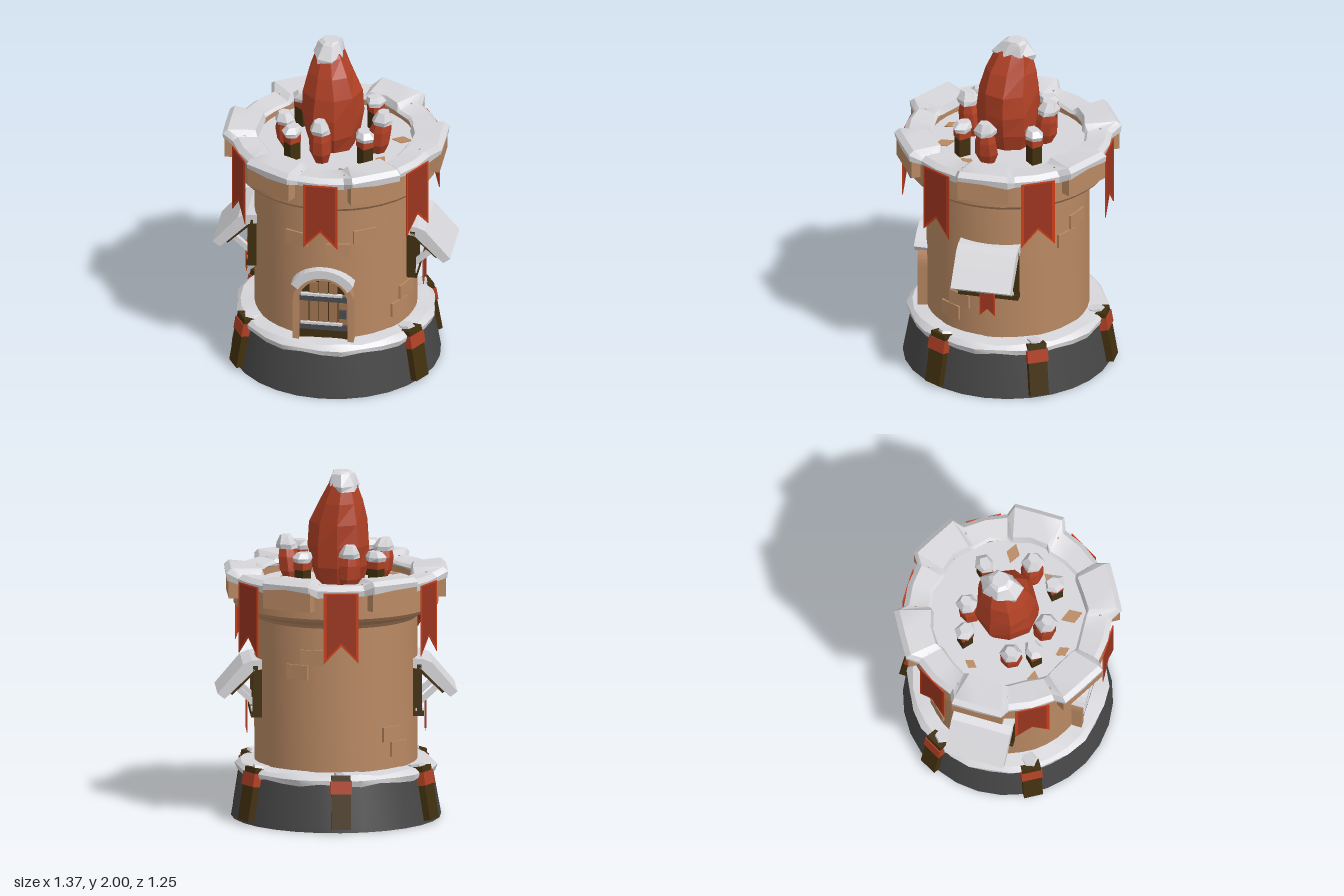
import * as THREE from 'three';
import { toCreasedNormals } from 'three/addons/utils/BufferGeometryUtils.js';

const RAD = Math.PI / 180;
const mat = (name, color, side = THREE.FrontSide) => {
  const m = new THREE.MeshStandardMaterial({ color, side });
  m.name = name;
  return m;
};

export function createModel() {
  const M = {
    wall: mat('sandstone', 0xb98963),
    stone: mat('dark stone', 0x474747, THREE.DoubleSide),
    snow: mat('snow', 0xd6d6da, THREE.DoubleSide),
    red: mat('red crystal', 0xb04025),
    cloth: mat('banner cloth', 0x9c3520),
    trim: mat('banner trim', 0xcc3d18),
    wood: mat('dark wood', 0x42300f),
    plank: mat('door plank', 0xa0744f),
    iron: mat('iron', 0x4a4c50),
  };
  const root = new THREE.Group();
  root.name = 'tower';
  const tower = new THREE.Group();
  tower.name = 'towerParts';
  tower.position.z = 0.015;
  root.add(tower);

  // ---- helpers ----
  const add = (parent, name, geo, material, x = 0, y = 0, z = 0) => {
    const m = new THREE.Mesh(geo, material);
    m.name = name;
    m.position.set(x, y, z);
    parent.add(m);
    return m;
  };
  const box = (parent, name, w, h, d, material, x, y, z) =>
    add(parent, name, new THREE.BoxGeometry(w, h, d), material, x, y, z);
  // group whose local +z points outward at the given angle from the front
  const spoke = (name, deg) => {
    const g = new THREE.Group();
    g.name = name;
    g.rotation.y = deg * RAD;
    tower.add(g);
    return g;
  };
  // skin over closed loops of points; either wraps round or gets end caps
  const skin = (rows, wrap, crease) => {
    const pos = [], n = rows[0].length;
    const tri = (...pts) => pts.forEach((p) => pos.push(p.x, p.y, p.z));
    const last = wrap ? rows.length : rows.length - 1;
    for (let j = 0; j < last; j++) {
      const A = rows[j], B = rows[(j + 1) % rows.length];
      for (let i = 0; i < n; i++) {
        const k = (i + 1) % n;
        tri(A[i], A[k], B[k]);
        tri(A[i], B[k], B[i]);
      }
    }
    if (!wrap) {
      const centre = (r) => r.reduce((s, p) => s.add(p), new THREE.Vector3()).divideScalar(n);
      const lo = rows[0], hi = rows[rows.length - 1], c0 = centre(lo), c1 = centre(hi);
      for (let i = 0; i < n; i++) {
        const k = (i + 1) % n;
        tri(lo[k], lo[i], c0);
        tri(hi[i], hi[k], c1);
      }
    }
    const g = new THREE.BufferGeometry();
    g.setAttribute('position', new THREE.Float32BufferAttribute(pos, 3));
    return toCreasedNormals(g, crease);
  };
  // faceted lump from rings of [y, centre x, centre z, radius x, radius z]
  const lump = (rings, sides, wobble = 0.06) => skin(rings.map(([y, cx, cz, rx, rz], j) =>
    Array.from({ length: sides }, (_, i) => {
      const a = (i + 0.3) / sides * Math.PI * 2, k = 1 + wobble * Math.sin(i * 2.3 + j * 1.3);
      return new THREE.Vector3(cx + Math.sin(a) * rx * k, y, cz + Math.cos(a) * rz * k);
    })), false, 0.1);
  // ring swept through angles; section gives [radius, y] pairs
  const sweep = (angles, section) => skin(angles.map((deg, i) => section(deg, i).map(([r, y]) =>
    new THREE.Vector3(Math.sin(deg * RAD) * r, y, Math.cos(deg * RAD) * r))), true, 0.55);
  const lathe = (pts, seg) => toCreasedNormals(
    new THREE.LatheGeometry(pts.map((p) => new THREE.Vector2(...p)), seg), 0.5);
  const extrude = (pts, depth) => new THREE.ExtrudeGeometry(
    new THREE.Shape(pts.map((p) => new THREE.Vector2(...p))), { depth, bevelEnabled: false });

  // ---- base and tower wall ----
  add(tower, 'base', lathe([[0.6, 0], [0.595, 0.03], [0.55, 0.28]], 28), M.stone);
  const floor = add(tower, 'baseFloor', new THREE.CircleGeometry(0.53, 28), M.snow, 0, 0.27);
  floor.rotation.x = Math.PI / 2;
  add(tower, 'wall', lathe([[0.465, 0.27], [0.465, 1.16], [0.48, 1.18], [0.57, 1.215],
    [0.585, 1.235], [0.585, 1.4], [0.46, 1.4], [0.46, 1.33]], 40), M.wall);
  const baseAngles = Array.from({ length: 30 }, (_, i) => i * 12);
  add(tower, 'baseSnow', sweep(baseAngles, (d, i) => {
    const w = Math.sin(i * 2.1);
    return [[0.545, 0.32 + 0.008 * w], [0.572 + 0.01 * w, 0.295], [0.565, 0.265 - 0.01 * w],
      [0.44, 0.265], [0.44, 0.33]];
  }), M.snow);

  // raised bricks: [angle, height]
  for (const [deg, y] of [[29, 0.98], [10, 0.9], [67, 0.53], [59, 0.44], [149, 0.9], [160, 0.99],
    [220, 0.53], [227, 0.44], [-20, 0.95]])
    box(spoke('brick', deg), 'brickFace', 0.135, 0.085, 0.04, M.wall, 0, y, 0.454);

  // ---- battlements ----
  for (let k = 0; k < 6; k++)
    box(spoke('merlon', 30 + 60 * k), 'merlonBlock', 0.3, 0.145, 0.12, M.wall, 0, 1.355, 0.56);
  const crownAngles = [];
  for (let k = 0; k < 6; k++) for (const o of [-17, -13, 0, 13, 17, 30]) crownAngles.push(30 + 60 * k + o);
  add(tower, 'crownSnow', sweep(crownAngles, (d, i) => {
    const s = i % 6, high = s >= 1 && s <= 3, w = Math.sin(i * 1.9);
    const out = high ? (s === 2 ? 0.635 : 0.65) : 0.595, top = high ? 1.455 : 1.425;
    return [[out - 0.03, top], [out, top - 0.025], [out - 0.005, top - 0.06 + 0.01 * w],
      [0.45, 1.385], [0.435 + 0.012 * w, 1.4], [0.45 + 0.012 * w, top - 0.01]];
  }), M.snow);

  // ---- swallow-tailed banners ----
  const banner = (g, w, top, bottom, notch, z, edge) => {
    const tail = (e) => [[-w / 2 + e, top - e / 2], [-w / 2 + e, bottom + e * 2], [0, notch + e],
      [w / 2 - e, bottom + e * 2], [w / 2 - e, top - e / 2]];
    add(g, 'bannerTrim', extrude(tail(0), 0.005), M.trim, 0, 0, z);
    add(g, 'bannerCloth', extrude(tail(edge), 0.009), M.cloth, 0, 0, z - 0.002);
  };
  for (let k = 0; k < 6; k++) banner(spoke('banner', 60 * k), 0.2, 1.39, 0.98, 1.085, 0.592, 0.016);

  // ---- posts with red bands ----
  const post = (g, s) => {
    box(g, 'postShaft', 0.11 * s, 0.31 * s, 0.12 * s, M.wood, 0, 0.155 * s, 0);
    box(g, 'postBand', 0.122 * s, 0.075 * s, 0.132 * s, M.red, 0, 0.24 * s, 0);
  };
  for (let k = 1; k < 6; k++) {
    const g = new THREE.Group();
    g.name = 'basePost';
    g.position.set(0, 0.015, 0.573);
    g.rotation.x = -0.17;
    post(g, 1);
    add(g, 'postSnow', lump([[0.295, 0.01, -0.01, 0.05, 0.06], [0.325, 0, -0.01, 0.04, 0.05]], 6), M.snow);
    spoke('postMount', 60 * k).add(g);
  }

  // ---- roof floor with bare patches ----
  const roof = add(tower, 'roofSnow', new THREE.CircleGeometry(0.462, 32), M.snow, 0, 1.345);
  roof.rotation.x = -Math.PI / 2;
  [[0.37, -0.08, 0.06], [0.28, 0.17, 0.05], [0.1, 0.35, 0.065], [-0.33, 0.25, 0.055],
    [-0.34, -0.12, 0.04], [-0.12, 0.36, 0.045]].forEach(([x, z, r], i) => {
    const p = add(tower, 'barePatch', new THREE.CylinderGeometry(r, r, 0.006, 4), M.wall, x, 1.346, z);
    p.rotation.y = i * 1.1;
    p.scale.z = 0.65;
  });

  // ---- great crystal ----
  add(tower, 'greatCrystal', lump([[1.34, -0.02, 0, 0.13, 0.13], [1.45, -0.02, 0, 0.165, 0.17],
    [1.57, -0.022, 0, 0.178, 0.18], [1.7, -0.02, 0, 0.168, 0.175], [1.82, -0.03, -0.01, 0.13, 0.15],
    [1.92, -0.035, -0.025, 0.085, 0.11], [1.97, -0.035, -0.03, 0.05, 0.06]], 9, 0.05), M.red);
  add(tower, 'greatCrystalSnow', lump([[1.89, -0.04, -0.03, 0.088, 0.118],
    [1.92, -0.04, -0.03, 0.092, 0.122], [1.985, -0.035, -0.035, 0.065, 0.075],
    [2.0, -0.03, -0.035, 0.05, 0.05]], 7, 0.1), M.snow);

  // ---- small crystals leaning outward: [x, z, height] ----
  for (const [x, z, h] of [[-0.05, 0.22, 0.28], [-0.06, -0.2, 0.26], [0.25, 0.06, 0.27], [-0.25, 0.09, 0.24]]) {
    const l = 0.14, at = (f, r) => [1.34 + h * f, x * (1 + l * f), z * (1 + l * f), r, r];
    add(tower, 'smallCrystal', lump([at(0, 0.04), at(0.25, 0.065), at(0.55, 0.062), at(0.9, 0.035)], 7), M.red);
    add(tower, 'smallCrystalSnow', lump([at(0.72, 0.06), at(0.82, 0.062), at(1, 0.034)], 6, 0.1), M.snow);
  }
  for (const [x, z] of [[-0.22, -0.19], [0.2, -0.2], [-0.22, 0.22], [0.2, 0.22]]) {
    const g = new THREE.Group();
    g.name = 'roofPost';
    g.position.set(x, 1.34, z);
    g.rotation.y = Math.atan2(x, z);
    post(g, 0.58);
    add(g, 'roofPostSnow', lump([[0.16, 0, 0, 0.05, 0.055], [0.185, 0, 0, 0.058, 0.06],
      [0.215, 0, -0.01, 0.035, 0.04]], 6, 0.1), M.snow);
    tower.add(g);
  }

  // ---- arched door ----
  const door = spoke('door', 0);
  const arch = (w, y0, spring) => {
    const s = new THREE.Shape();
    s.moveTo(-w, y0);
    s.lineTo(w, y0);
    s.lineTo(w, spring);
    s.absarc(0, spring, w, 0, Math.PI, false);
    s.lineTo(-w, y0);
    return s;
  };
  const ex = (shape, depth) => new THREE.ExtrudeGeometry(shape, { depth, bevelEnabled: false, curveSegments: 12 });
  const frame = arch(0.175, 0.3, 0.57);
  frame.holes.push(arch(0.14, 0.301, 0.57));
  add(door, 'doorFrame', ex(frame, 0.1), M.wall, 0, 0, 0.39);
  add(door, 'doorBacking', ex(arch(0.142, 0.3, 0.57), 0.08), M.wood, 0, 0, 0.388);
  for (let i = -2; i <= 2; i++) {
    const top = 0.57 + Math.sqrt(0.14 ** 2 - (Math.abs(i) * 0.056 + 0.022) ** 2 + 0.0005);
    box(door, 'doorPlank', 0.05, top - 0.39, 0.012, M.plank, i * 0.056, (top + 0.39) / 2, 0.47);
  }
  for (const y of [0.59, 0.405]) {
    box(door, 'doorBar', 0.275, 0.035, 0.02, M.iron, 0, y, 0.478);
    box(door, 'doorBarSnow', 0.24, 0.014, 0.022, M.snow, -0.01, y + 0.022, 0.479);
  }
  box(door, 'doorLock', 0.04, 0.055, 0.02, M.iron, 0.112, 0.495, 0.478);
  const cap = new THREE.Shape();
  cap.absarc(0, 0.57, 0.215, 35 * RAD, 148 * RAD, false);
  cap.absarc(0, 0.57, 0.165, 150 * RAD, 30 * RAD, true);
  add(door, 'doorSnow', new THREE.ExtrudeGeometry(cap,
    { depth: 0.1, bevelEnabled: false, curveSegments: 6 }), M.snow, 0, 0, 0.41);

  // ---- side windows with snowy awnings ----
  for (const side of [1, -1]) {
    const g = spoke(side > 0 ? 'leftWindow' : 'rightWindow', 90 * side);
    box(g, 'windowBack', 0.34, 0.3, 0.07, M.wood, 0, 0.745, 0.425);
    for (const x of [-0.16, 0, 0.16]) box(g, 'windowBar', 0.03, 0.3, 0.03, M.wood, x, 0.745, 0.468);
    box(g, 'windowSill', 0.35, 0.03, 0.05, M.wood, 0, 0.61, 0.468);
    for (const x of [-0.12, 0.1]) box(g, 'sillSnow', 0.1, 0.02, 0.045, M.snow, x, 0.632, 0.468);
    const w = 0.35;
    const roofPart = (name, pts, width, material) => {
      const m = add(g, name, extrude(pts, width), material, width / 2);
      m.rotation.y = -Math.PI / 2;
    };
    roofPart('awningSnow', [[0.43, 0.875], [0.48, 0.865], [0.6, 0.745], [0.645, 0.705], [0.685, 0.735],
      [0.6, 0.835], [0.54, 0.905], [0.49, 0.925], [0.43, 0.93]], w, M.snow);
    roofPart('awningBoard', [[0.46, 0.86], [0.6, 0.725], [0.615, 0.735], [0.47, 0.88]], w - 0.03, M.wood);
    for (const x of [-0.13, 0.13]) {
      const strut = box(g, 'awningStrut', 0.03, 0.17, 0.03, M.snow, x, 0.715, 0.52);
      strut.rotation.x = 0.83;
    }
    banner(g, 0.09, 0.67, 0.485, 0.53, 0.508, 0.007);
  }
  return root;
}
